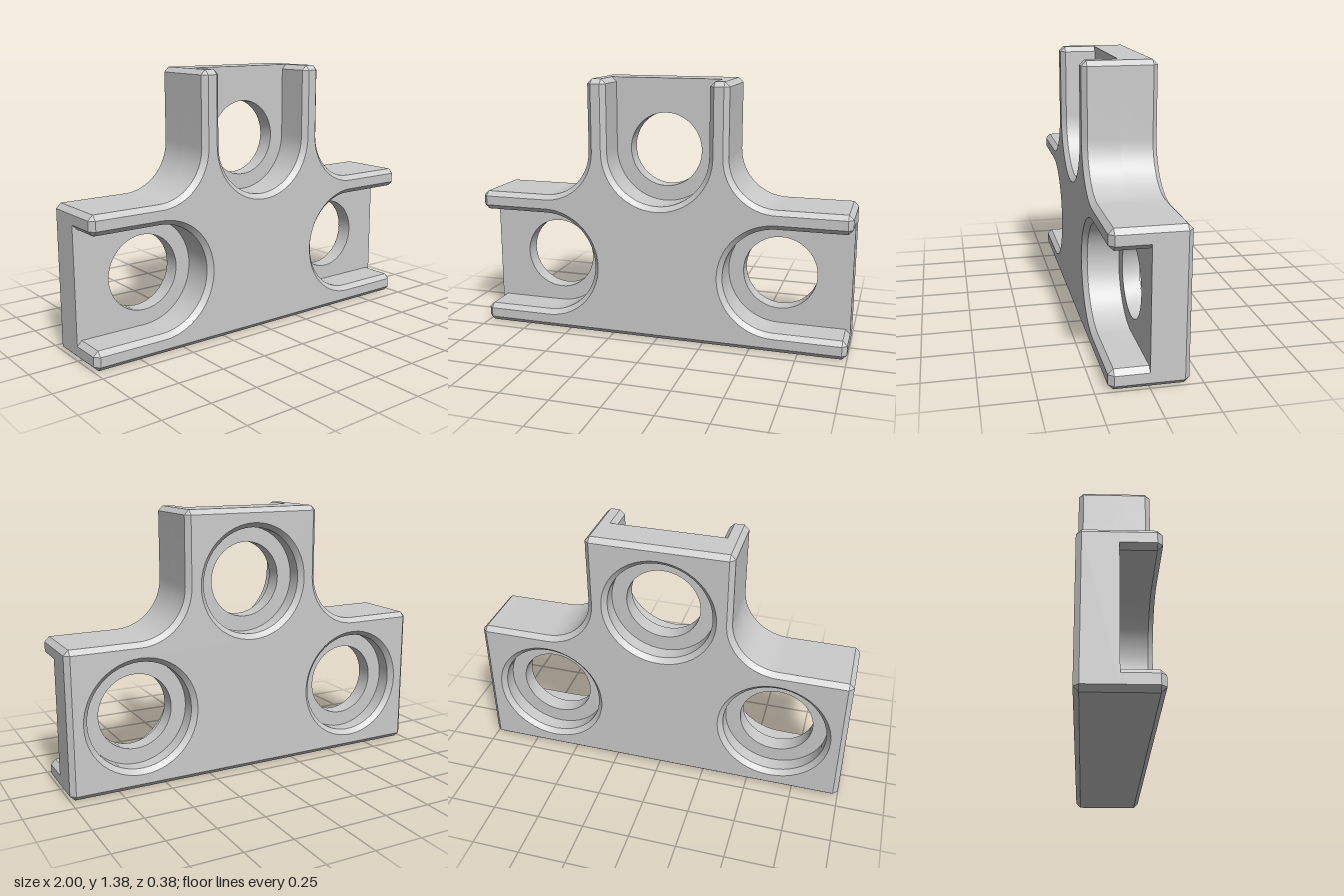
import * as THREE from 'three';
import { toCreasedNormals } from 'three/addons/utils/BufferGeometryUtils.js';

const H = 0.1875;       // half thickness
const C = 0.025;        // chamfer
const R = 0.275;        // slot and counterbore radius
const BORE = 0.195;     // through-hole radius
const STEP = -0.0875;   // counterbore floor
const SEATS = [[0.625, 0.375, 0], [-0.625, 0.375, Math.PI], [0, 1, Math.PI / 2]];

const pt = (x, y, cut = false) => ({ x, y, cut });

function arc(cx, cy, r, from, to, n) {
  return Array.from({ length: n + 1 }, (_, i) => {
    const a = THREE.MathUtils.degToRad(from + ((to - from) * i) / n);
    return pt(cx + r * Math.cos(a), cy + r * Math.sin(a));
  });
}

// Mirror a right-hand half outline into a closed counter-clockwise loop
function mirror(half) {
  const left = half.filter(p => p.x > 1e-6).reverse().map(p => pt(-p.x, p.y, p.cut));
  return [...half, ...left];
}

// Loop with its marked corners cut off
function cutRing(loop) {
  const n = loop.length;
  return loop.flatMap((p, i) => {
    const v = new THREE.Vector2(p.x, p.y);
    if (!p.cut) return [v];
    return [loop[(i + n - 1) % n], loop[(i + 1) % n]].map(q =>
      v.clone().add(new THREE.Vector2(q.x - p.x, q.y - p.y).setLength(C)));
  });
}

// Loop moved inward by the chamfer, with the same point count as cutRing
function insetRing(loop) {
  const n = loop.length;
  const normal = (a, b) => new THREE.Vector2(a.y - b.y, b.x - a.x).normalize();
  return loop.flatMap((p, i) => {
    const n1 = normal(loop[(i + n - 1) % n], p);
    const n2 = normal(p, loop[(i + 1) % n]);
    const v = n1.clone().add(n2).multiplyScalar(C / (1 + n1.dot(n2))).add(new THREE.Vector2(p.x, p.y));
    return p.cut ? [v, v.clone()] : [v];
  });
}

// Wall through a stack of [ring, z] levels
function wall(levels) {
  const pos = [];
  for (let k = 0; k < levels.length - 1; k++) {
    const [a, z0] = levels[k], [b, z1] = levels[k + 1];
    a.forEach((p, i) => {
      const j = (i + 1) % a.length;
      pos.push(p.x, p.y, z0, a[j].x, a[j].y, z0, b[j].x, b[j].y, z1);
      pos.push(p.x, p.y, z0, b[j].x, b[j].y, z1, b[i].x, b[i].y, z1);
    });
  }
  const g = new THREE.BufferGeometry();
  g.setAttribute('position', new THREE.Float32BufferAttribute(pos, 3));
  return toCreasedNormals(g, 0.5);
}

function circleHole(x, y, r) {
  return new THREE.Path(arc(x, y, r, 0, 360, 48).slice(0, -1).map(p => new THREE.Vector2(p.x, p.y)));
}

export function createModel() {
  const group = new THREE.Group();
  const material = new THREE.MeshStandardMaterial({ color: 0xcccccc });
  const add = (name, geometry) => {
    const mesh = new THREE.Mesh(geometry, material);
    mesh.name = name;
    group.add(mesh);
    return mesh;
  };

  // Outlines of the back plate and of the raised front web
  const fillet = arc(0.625, 1, 0.25, -90, -180, 16);
  const plate = mirror([pt(1, 0, true), pt(1, 0.75, true), ...fillet, pt(0.375, 1.375, true)]);
  const web = mirror([
    pt(1, 0, true), pt(1, 0.375 - R, true),
    ...arc(0.625, 0.375, R, -90, -270, 32),
    pt(1, 0.375 + R, true), pt(1, 0.75, true),
    ...fillet,
    pt(0.375, 1.375, true), pt(R, 1.375, true),
    ...arc(0, 1, R, 0, -90, 16),
  ]);

  // Back plate: chamfered side walls and rear face
  const plateInset = insetRing(plate), plateFull = cutRing(plate);
  add('backPlateWall', wall([[plateInset, -H], [plateFull, -H + C], [plateFull, 0]]));
  const rear = new THREE.Shape(plateInset);
  SEATS.forEach(([x, y]) => rear.holes.push(circleHole(x, y, R + C)));
  add('rearFace', new THREE.ShapeGeometry(rear).rotateY(Math.PI).translate(0, 0, -H));

  // Front web: flanges around the slots
  const webInset = insetRing(web), webFull = cutRing(web);
  add('frontWebWall', wall([[webFull, 0], [webFull, H - C], [webInset, H]]));
  add('frontFace', new THREE.ShapeGeometry(new THREE.Shape(webInset)).translate(0, 0, H));

  // Slot floors and stepped bores
  const floor = new THREE.Shape([
    ...arc(0, 0, R, 90, 270, 32), pt(0.375 - C, -R), pt(0.375, -R - C), pt(0.375, R + C), pt(0.375 - C, R),
  ].map(p => new THREE.Vector2(p.x, p.y)));
  floor.holes.push(circleHole(0, 0, BORE));
  const floorGeometry = new THREE.ShapeGeometry(floor);
  const boreProfile = [[BORE, 0], [BORE, STEP], [R, STEP], [R, -H + C], [R + C, -H]]
    .map(([r, z]) => new THREE.Vector2(r, z));
  const boreGeometry = toCreasedNormals(new THREE.LatheGeometry(boreProfile, 48).rotateX(Math.PI / 2), 0.5);
  for (const [x, y, turn] of SEATS) {
    for (const [name, geometry] of [['slotFloor', floorGeometry], ['steppedBore', boreGeometry]]) {
      const mesh = add(name, geometry);
      mesh.position.set(x, y, 0);
      mesh.rotation.z = turn;
    }
  }
  return group;
}
